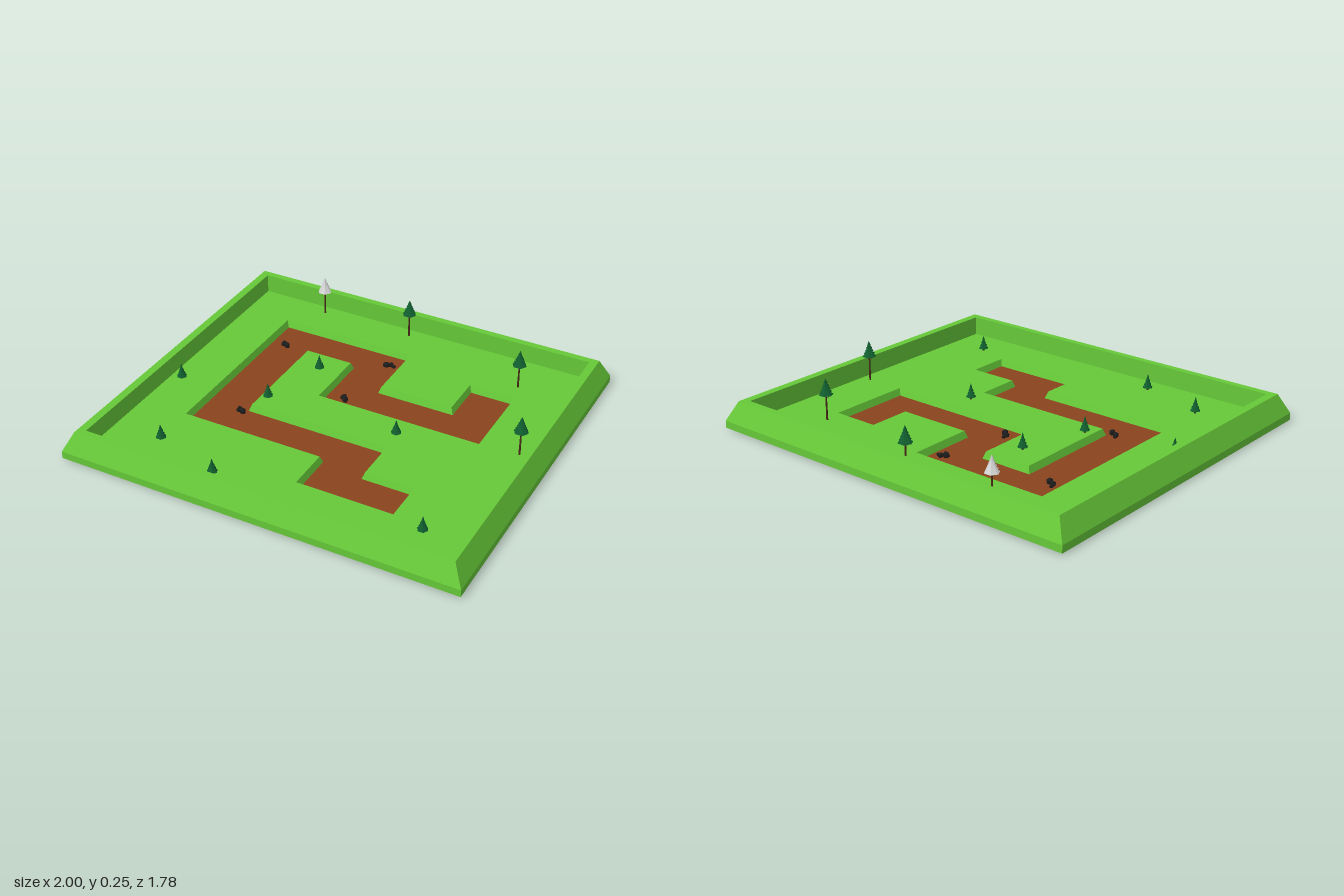
import * as THREE from 'three';

const mat = (color, extra = {}) => new THREE.MeshStandardMaterial({ color, flatShading: true, ...extra });
const grass = mat(0x66c938);
const soil = mat(0x8a431e, { side: THREE.DoubleSide });
const leaf = mat(0x0f5a2c);
const paleLeaf = mat(0xcccccc);
const bark = mat(0x4a2a18);
const stone = mat(0x1c1c1c);

const BOTTOM = 0.004, PATH = 0.008, FLOOR = 0.042, RIM = 0.138;

// Path outline [x, z], clockwise seen from above
const outline = [
  [-0.665, -0.595], [0.05, -0.595], [0.05, -0.27], [0.425, -0.27], [0.425, -0.487], [0.66, -0.487],
  [0.66, -0.06], [-0.182, -0.06], [-0.182, -0.387], [-0.428, -0.387], [-0.428, 0.158], [0.297, 0.158],
  [0.297, 0.377], [0.542, 0.377], [0.542, 0.585], [0.06, 0.585], [0.06, 0.37], [-0.665, 0.37],
];

function add(parent, name, geometry, material) {
  const mesh = new THREE.Mesh(geometry, material);
  mesh.name = name;
  parent.add(mesh);
  return mesh;
}

const rect = (w, d, cx = 0, cz = 0) =>
  [[cx - w, cz - d], [cx + w, cz - d], [cx + w, cz + d], [cx - w, cz + d]];

// Moves every edge of a right-angled outline inward by t
function inset(pts, t) {
  const n = pts.length;
  const normal = (a, b) => [-Math.sign(b[1] - a[1]), Math.sign(b[0] - a[0])];
  return pts.map((p, i) => {
    const n1 = normal(pts[(i + n - 1) % n], p), n2 = normal(p, pts[(i + 1) % n]);
    return [p[0] + t * (n1[0] + n2[0]), p[1] + t * (n1[1] + n2[1])];
  });
}

// Joins successive rings {pts, y} with flat quads
function loft(rings) {
  const pos = [];
  for (let r = 0; r < rings.length - 1; r++) {
    const lo = rings[r], hi = rings[r + 1], n = lo.pts.length;
    for (let i = 0; i < n; i++) {
      const j = (i + 1) % n;
      const at = (ring, k) => [ring.pts[k][0], ring.y, ring.pts[k][1]];
      const a = at(lo, i), b = at(lo, j), c = at(hi, j), d = at(hi, i);
      pos.push(...a, ...d, ...c, ...a, ...c, ...b);
    }
  }
  const g = new THREE.BufferGeometry();
  g.setAttribute('position', new THREE.Float32BufferAttribute(pos, 3));
  g.computeVertexNormals();
  return g;
}

// Flat horizontal sheet with holes, facing up (1) or down (-1)
function sheet(pts, holes, y, facing) {
  const flat = (list) => list.map(([x, z]) => new THREE.Vector2(x, -z * facing));
  const shape = new THREE.Shape(flat(pts));
  shape.holes = holes.map((h) => new THREE.Path(flat(h)));
  return new THREE.ShapeGeometry(shape).rotateX(-facing * Math.PI / 2).translate(0, y, 0);
}

// Fir with stacked six-sided tiers
function makeTree(name, { base, top, radius, trunk, tiers, foliage }) {
  const tree = new THREE.Group();
  tree.name = name;
  const trunkHeight = base + 0.02 - FLOOR;
  add(tree, 'trunk', new THREE.CylinderGeometry(trunk * 0.7, trunk, trunkHeight, 6)
    .translate(0, FLOOR + trunkHeight / 2, 0), bark);
  const step = (top - base) / (tiers + 0.6);
  for (let i = 0; i < tiers; i++) {
    const h = step * 1.6;
    add(tree, 'foliageTier', new THREE.ConeGeometry(radius * (1 - 0.72 * i / (tiers - 1)), h, 6)
      .rotateY(Math.PI / 6).translate(0, base + i * step + h / 2, 0), foliage);
  }
  return tree;
}

// Knobbly elongated stone pile
function makeRock(x, z, angle) {
  const rock = new THREE.Group();
  rock.name = 'rock';
  const lumps = [[-0.015, 0.018, 0.004, 0.018], [0.008, 0.014, -0.006, 0.015], [0.024, 0.011, 0.004, 0.011]];
  lumps.forEach(([lx, ly, lz, r], i) => {
    const lump = add(rock, 'rockLump', new THREE.IcosahedronGeometry(r, 0), stone);
    lump.position.set(lx, ly, lz);
    lump.rotation.set(i, i * 2, 0.4);
    lump.scale.set(1.1, 1, 0.9);
  });
  rock.position.set(x, 0, z);
  rock.rotation.y = angle;
  return rock;
}

export function createModel() {
  const model = new THREE.Group();
  model.name = 'terrainTile';

  // Skirt, sloped bank, rim and inner wall
  const inner = rect(0.91, 0.81);
  add(model, 'raisedBorder', loft([
    { pts: rect(1, 0.89), y: BOTTOM }, { pts: rect(1, 0.89), y: 0.04 },
    { pts: rect(0.95, 0.845), y: RIM }, { pts: inner, y: RIM }, { pts: inner, y: FLOOR },
  ]), grass);

  // Grass floor, sunken path and underside with small openings
  const bed = inset(outline, 0.012);
  const openings = [[0.235, 0.22], [-0.48, -0.33], [-0.36, 0.315]].map(([x, z]) => rect(0.05, 0.05, x, z));
  add(model, 'grassFloor', sheet(inner, [outline], FLOOR, 1), grass);
  add(model, 'pathBank', loft([{ pts: outline, y: FLOOR }, { pts: bed, y: PATH }]), grass);
  add(model, 'pathBed', sheet(bed, [], PATH, 1), soil);
  add(model, 'underside', sheet(rect(1, 0.89), openings, BOTTOM, -1), grass);

  // Tall firs, one of them pale
  const tall = [[-0.53, -0.757, paleLeaf], [-0.04, -0.757, leaf], [0.637, -0.58, leaf], [0.855, -0.073, leaf]];
  for (const [x, z, foliage] of tall) {
    const tree = makeTree('tallTree', { base: 0.17, top: 0.25, radius: 0.036, trunk: 0.005, tiers: 5, foliage });
    for (const side of [0, 2.2]) {
      const twig = add(tree, 'twig', new THREE.CylinderGeometry(0.001, 0.0015, 0.02, 4), bark);
      twig.position.set(Math.cos(side) * 0.008, 0.155, Math.sin(side) * 0.008);
      twig.rotation.set(0, -side, -1);
    }
    tree.position.set(x, 0, z);
    model.add(tree);
  }

  // Small firs
  const small = [[-0.293, -0.265], [-0.39, 0.07], [0.29, 0.053], [-0.85, 0.122], [-0.653, 0.595], [-0.303, 0.706], [0.703, 0.63]];
  for (const [x, z] of small) {
    const tree = makeTree('smallTree', { base: 0.055, top: 0.125, radius: 0.026, trunk: 0.006, tiers: 4, foliage: leaf });
    tree.position.set(x, 0, z);
    model.add(tree);
  }

  // Rocks on the path
  const rocks = [[-0.58, -0.422, 2.4], [-0.02, -0.497, 0.2], [-0.083, -0.133, 2.1], [-0.472, 0.19, 2.5]];
  for (const [x, z, angle] of rocks) model.add(makeRock(x, z, angle));

  return model;
}
